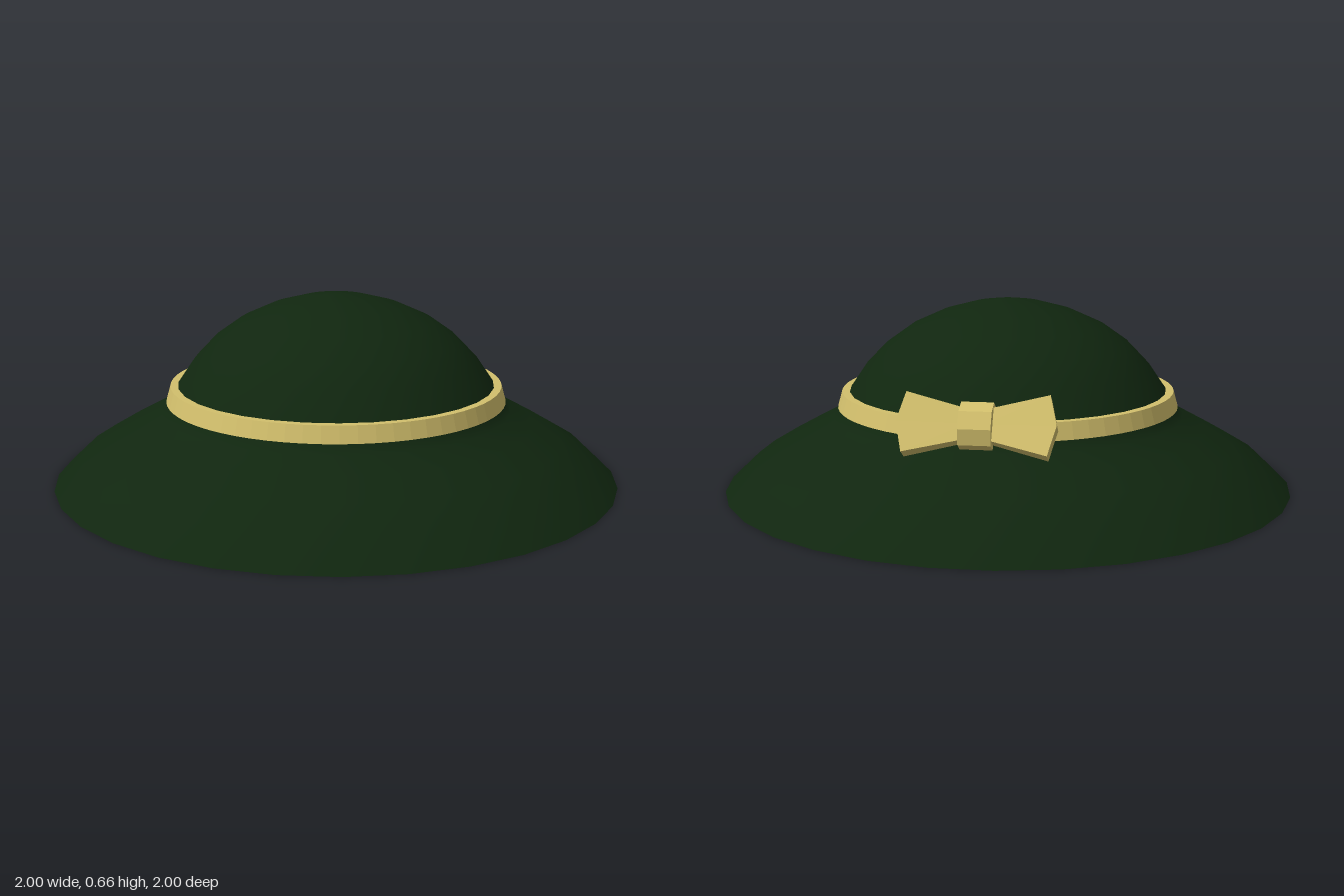
import * as THREE from 'three';

export function createModel() {
  const hat = new THREE.Group();
  hat.name = 'hat';
  const felt = new THREE.MeshStandardMaterial({ color: 0x10260f, side: THREE.DoubleSide });
  felt.name = 'dark green felt';
  const ribbon = new THREE.MeshStandardMaterial({ color: 0xd2bf6c, flatShading: true });
  ribbon.name = 'gold ribbon';

  const add = (parent, name, geometry, material) => {
    const mesh = new THREE.Mesh(geometry, material);
    mesh.name = name;
    parent.add(mesh);
    return mesh;
  };
  const lathe = (points, segments) =>
    new THREE.LatheGeometry(points.map(([r, y]) => new THREE.Vector2(r, y)), segments);

  // Drooping brim and rounded crown, both open underneath
  add(hat, 'brim', lathe([[1, 0], [0.9, 0.095], [0.8, 0.155], [0.7, 0.21], [0.62, 0.252], [0.6, 0.28]], 32), felt);
  add(hat, 'crown', lathe([
    [0.6, 0.28], [0.56, 0.342], [0.5, 0.43], [0.43, 0.503], [0.34, 0.567],
    [0.23, 0.617], [0.12, 0.647], [0.03, 0.66], [0, 0.66],
  ], 32), felt);

  // Ribbon band around the foot of the crown
  add(hat, 'band', lathe([[0.58, 0.285], [0.602, 0.285], [0.586, 0.342], [0.555, 0.342]], 64), ribbon);

  // Bow at the back left, leaning along the slope of the crown
  const bow = new THREE.Group();
  bow.name = 'bow';
  bow.position.set(0.39, 0.335, -0.45);
  bow.rotation.set(-0.54, Math.atan2(0.635, -0.77), 0, 'YXZ');
  hat.add(bow);

  // Each loop flares in height and thickness towards its bulging outer edge
  for (const side of [-1, 1]) {
    const loop = new THREE.BoxGeometry(1, 2, 1, 1, 2, 1);
    const p = loop.attributes.position;
    for (let i = 0; i < p.count; i++) {
      const outer = p.getX(i) * side > 0;
      const y = p.getY(i);
      const x = outer ? 0.255 - 0.025 * Math.abs(y) : 0.03;
      p.setXYZ(i, side * x, y * (outer ? 0.1 : 0.05), p.getZ(i) * (outer ? 0.055 : 0.04));
    }
    add(bow, side > 0 ? 'leftLoop' : 'rightLoop', loop, ribbon);
  }

  // Faceted knot wrapped around the middle
  const knot = new THREE.CylinderGeometry(1, 1, 0.105, 8);
  knot.rotateY(Math.PI / 8).rotateZ(Math.PI / 2).scale(1, 0.078, 0.058);
  add(bow, 'knot', knot, ribbon);

  return hat;
}
